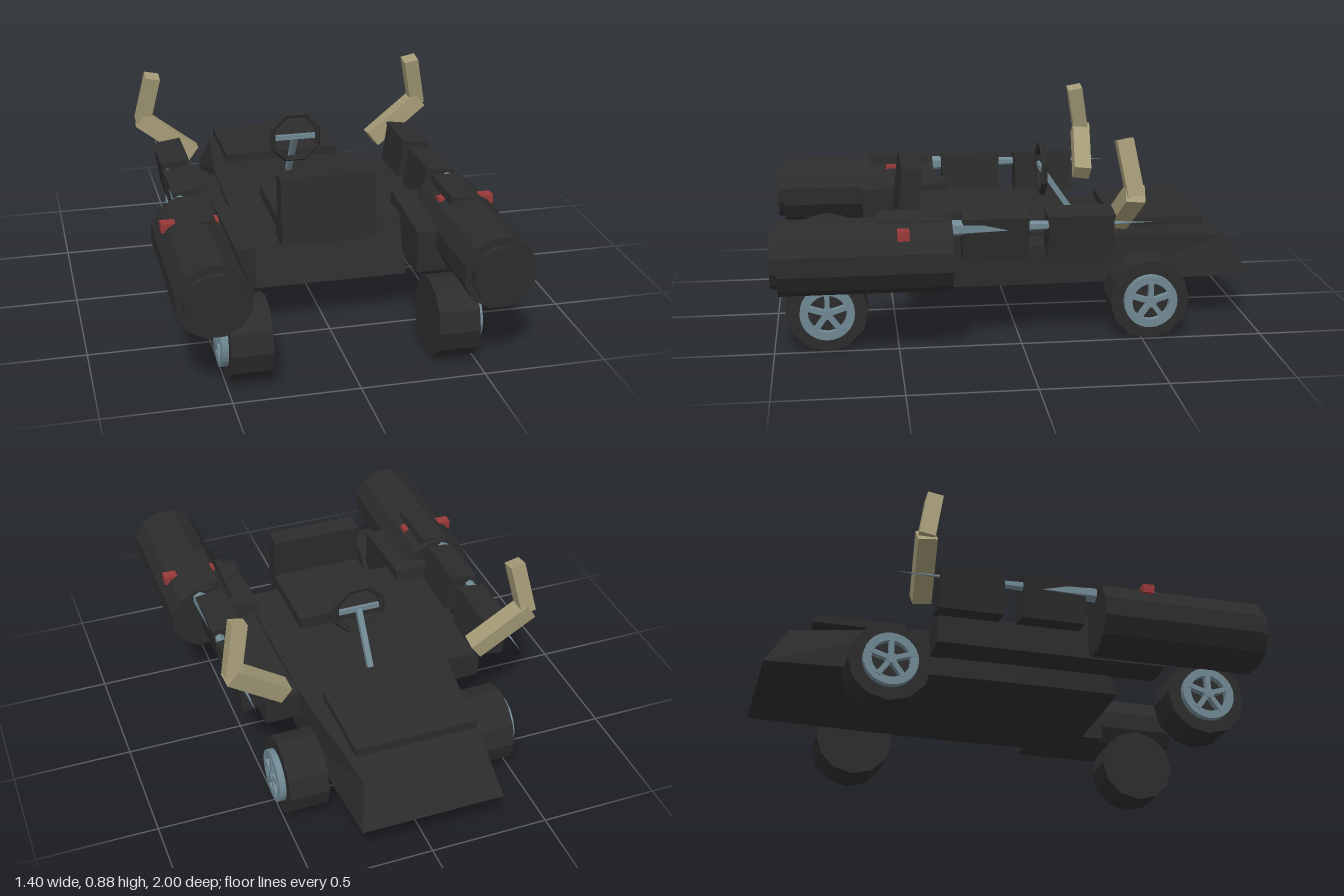
import * as THREE from 'three';

const mat = (name, color) => {
  const m = new THREE.MeshStandardMaterial({ color, flatShading: true });
  m.name = name;
  return m;
};

export function createModel() {
  const root = new THREE.Group();
  root.name = 'kart';
  const dark = mat('charcoal', 0x2c2c2c);
  const steel = mat('blueSteel', 0x708893);
  const bone = mat('bone', 0xa39a76);
  const red = mat('red', 0x983838);

  const add = (name, geo, m, x = 0, y = 0, z = 0, parent = root) => {
    const mesh = new THREE.Mesh(geo, m);
    mesh.name = name;
    mesh.position.set(x, y, z);
    parent.add(mesh);
    return mesh;
  };
  const box = (name, m, w, h, d, x, y, z, parent) =>
    add(name, new THREE.BoxGeometry(w, h, d), m, x, y, z, parent);
  // Square bar running between two points
  const bar = (name, m, a, b, w, d) => {
    const p = new THREE.Vector3(...a), q = new THREE.Vector3(...b);
    const dir = q.clone().sub(p), mid = p.clone().add(q).multiplyScalar(0.5);
    const mesh = box(name, m, w, dir.length(), d, mid.x, mid.y, mid.z);
    mesh.quaternion.setFromUnitVectors(new THREE.Vector3(0, 1, 0), dir.normalize());
  };

  // Hull lofted from tail to nose: bottom z, top z, top y, bottom half width, top half width
  const stations = [
    [0.46, 0.36, 0.43, 0.335, 0.345],
    [0, 0, 0.43, 0.34, 0.345],
    [-0.38, -0.38, 0.4, 0.335, 0.325],
    [-1, -0.9, 0.365, 0.3, 0.26],
  ];
  const pos = [], idx = [];
  stations.forEach(([zb, zt, yt, wb, wt], i) => {
    pos.push(-wb, 0.2, zb, wb, 0.2, zb, wt, yt, zt, -wt, yt, zt);
    if (!i) return;
    for (let j = 0; j < 4; j++) {
      const k = (j + 1) % 4, p = (i - 1) * 4, q = i * 4;
      idx.push(p + j, q + j, q + k, p + j, q + k, p + k);
    }
  });
  const e = (stations.length - 1) * 4;
  idx.push(0, 1, 2, 0, 2, 3, e, e + 2, e + 1, e, e + 3, e + 2);
  let hull = new THREE.BufferGeometry();
  hull.setAttribute('position', new THREE.Float32BufferAttribute(pos, 3));
  hull.setIndex(idx);
  hull = hull.toNonIndexed();
  hull.computeVertexNormals();
  add('hull', hull, dark);
  box('hoodPlate', dark, 0.515, 0.035, 0.38, 0, 0.433, -0.615);

  // Seat
  box('seatCushion', dark, 0.395, 0.09, 0.42, 0, 0.435, 0.25);
  box('seatBack', dark, 0.395, 0.28, 0.085, 0, 0.525, 0.435).rotation.x = -0.1;

  // Steering
  const ring = new THREE.TorusGeometry(0.108, 0.014, 5, 8);
  ring.rotateZ(Math.PI / 8);
  add('steeringWheel', ring, dark, 0, 0.617, -0.147);
  box('steeringSpoke', steel, 0.2, 0.022, 0.014, 0, 0.617, -0.147);
  bar('steeringColumn', steel, [0, 0.617, -0.147], [0, 0.41, -0.29], 0.024, 0.024);

  // Wheel rim ring, facing +z before it is turned outward
  const rimShape = new THREE.Shape().absarc(0, 0, 0.11, 0, Math.PI * 2);
  rimShape.holes.push(new THREE.Path().absarc(0, 0, 0.077, 0, Math.PI * 2, true));
  const rimGeo = new THREE.ExtrudeGeometry(rimShape, { depth: 0.03, bevelEnabled: false, curveSegments: 14 });
  const tyreGeo = new THREE.CylinderGeometry(0.165, 0.165, 0.165, 12).rotateZ(Math.PI / 2);

  // Side pod profile in z and y
  const podShape = new THREE.Shape([
    [-0.34, 0.28], [0.62, 0.28], [0.62, 0.455], [0.29, 0.48], [0.24, 0.48], [0.23, 0.42], [-0.34, 0.395],
  ].map(([z, y]) => new THREE.Vector2(-z, y)));
  const podGeo = new THREE.ExtrudeGeometry(podShape, { depth: 0.15, bevelEnabled: false });
  podGeo.rotateY(Math.PI / 2).translate(-0.075, 0, 0);

  const tube = (r0, r1, len, n, start = 0) =>
    new THREE.CylinderGeometry(r0, r1, len, n, 1, false, start).rotateX(-Math.PI / 2);

  for (const s of [1, -1]) {
    const side = s > 0 ? 'left' : 'right';

    // Wheels
    for (const [end, z] of [['Front', -0.53], ['Rear', 0.785]]) {
      const wheel = new THREE.Group();
      wheel.name = side + end + 'Wheel';
      wheel.position.set(s * 0.41, 0.165, z);
      root.add(wheel);
      add('tyre', tyreGeo, dark, 0, 0, 0, wheel);
      const rim = new THREE.Group();
      rim.name = 'rim';
      rim.position.x = s * 0.08;
      rim.rotation.y = s * Math.PI / 2;
      wheel.add(rim);
      add('rimRing', rimGeo, steel, 0, 0, 0, rim);
      add('hub', new THREE.CylinderGeometry(0.022, 0.022, 0.038, 10).rotateX(Math.PI / 2), steel, 0, 0, 0.019, rim);
      for (let i = 0; i < 5; i++) {
        const a = Math.PI / 2 + (i * Math.PI * 2) / 5;
        const spoke = box('spoke', steel, 0.085, 0.02, 0.028, Math.cos(a) * 0.045, Math.sin(a) * 0.045, 0.02, rim);
        spoke.rotation.z = a;
      }
    }

    // Side pod, canister and its end cap
    add(side + 'SidePod', podGeo, dark, s * 0.405, 0, 0);
    add(side + 'Canister', tube(0.15, 0.15, 0.68, 12, Math.PI / 12), dark, s * 0.555, 0.415, 0.63);
    add(side + 'CanisterCap', tube(0.12, 0.12, 0.04, 12, Math.PI / 12), dark, s * 0.555, 0.415, 0.98);
    box(side + 'CanisterLight', red, 0.23, 0.037, 0.047, s * 0.57, 0.522, 0.483);

    // Row of tilted boxes with thin lids
    for (const z of [0.445, 0.115, -0.225]) {
      const crate = new THREE.Group();
      crate.name = side + 'SideBox';
      crate.position.set(s * 0.53, 0.479, z);
      crate.rotation.z = -s * 0.14;
      root.add(crate);
      box('boxBody', dark, 0.118, 0.17, 0.262, 0, -0.004, 0, crate);
      box('boxLid', dark, 0.122, 0.014, 0.27, 0, 0.082, 0, crate);
    }

    // Long spike through the boxes
    add(side + 'Spike', tube(0, 0.033, 0.82, 6), steel, s * 0.573, 0.52, -0.12);

    // Bent horn
    bar(side + 'HornLower', bone, [s * 0.418, 0.488, -0.4], [s * 0.645, 0.657, -0.427], 0.075, 0.078);
    bar(side + 'HornUpper', bone, [s * 0.637, 0.645, -0.428], [s * 0.59, 0.863, -0.388], 0.064, 0.066);
  }
  return root;
}
